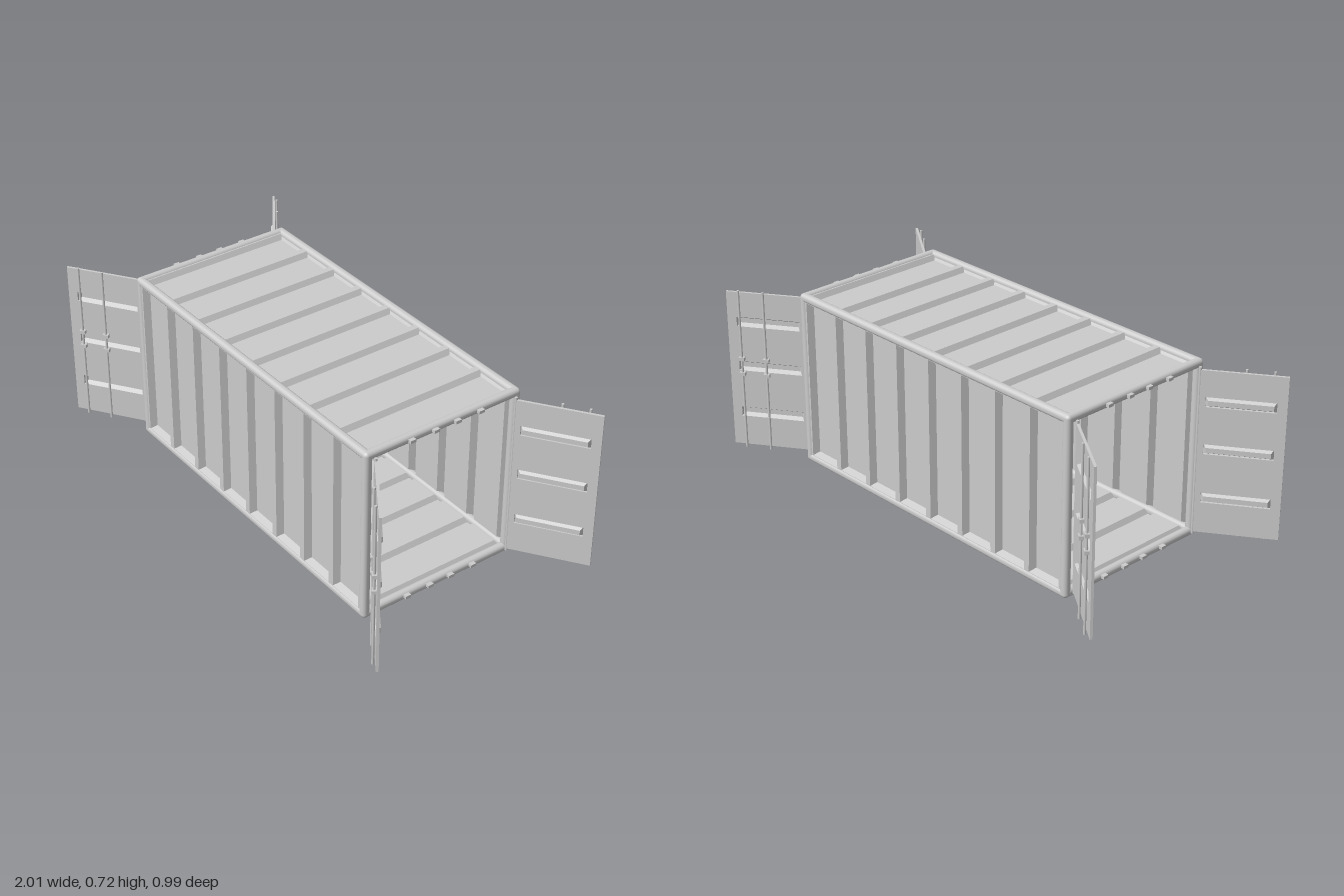
import * as THREE from 'three';
import { RoundedBoxGeometry } from 'three/addons/geometries/RoundedBoxGeometry.js';

const mat = new THREE.MeshStandardMaterial({ color: 0xcccccc, side: THREE.DoubleSide });

function add(parent, name, geo, x = 0, y = 0, z = 0) {
  const m = new THREE.Mesh(geo, mat);
  m.name = name;
  m.position.set(x, y, z);
  parent.add(m);
  return m;
}

// Rectangle outline centred on (x, y)
function rect(path, x, y, w, h) {
  path.moveTo(x - w / 2, y - h / 2);
  path.lineTo(x + w / 2, y - h / 2);
  path.lineTo(x + w / 2, y + h / 2);
  path.lineTo(x - w / 2, y + h / 2);
  path.closePath();
  return path;
}

// Pressed pan: open at z = 0, floor at z = -d, sides tapering by t
function pan(w, h, d, t) {
  const box = new THREE.BoxGeometry(w, h, d);
  box.translate(0, 0, -d / 2);
  const p = box.attributes.position;
  for (let i = 0; i < p.count; i++) {
    if (p.getZ(i) < -d / 2) {
      p.setX(i, p.getX(i) * (1 - 2 * t / w));
      p.setY(i, p.getY(i) * (1 - 2 * t / h));
    }
  }
  // drop the open front face
  const idx = Array.from(box.index.array);
  idx.splice(24, 6);
  // sides and floor are seen mainly from within the pan
  for (let i = 0; i < idx.length; i += 3) [idx[i], idx[i + 1]] = [idx[i + 1], idx[i]];
  box.setIndex(idx);
  box.clearGroups();
  const geo = box.toNonIndexed();
  geo.computeVertexNormals();
  return geo;
}

// Sheet with eight pressed pans between ribs, outside facing +z
function pressedPanel(name, h, panH, depth, taper) {
  const g = new THREE.Group();
  g.name = name;
  const pitch = 0.176, w = 0.151;
  const shape = rect(new THREE.Shape(), 0, 0, 1.43, h);
  for (let i = 0; i < 8; i++) {
    const x = (i - 3.5) * pitch;
    shape.holes.push(rect(new THREE.Path(), x, 0, w, panH));
    add(g, 'panelPan', pan(w, panH, depth, taper), x);
  }
  add(g, 'panelRibs', new THREE.ShapeGeometry(shape));
  return g;
}

// Door hinged at its origin, outside facing +z, reaching towards s * x
function door(s) {
  const g = new THREE.Group();
  g.name = 'door';
  const L = 0.317, H = 0.66, T = 0.01;
  const shape = rect(new THREE.Shape(), s * L / 2, 0, L, H);
  for (const y of [0.205, 0.015, -0.185]) {
    shape.holes.push(rect(new THREE.Path(), s * 0.152, y, 0.256, 0.04));
    add(g, 'doorPressing', pan(0.256, 0.04, 0.018, 0.01), s * 0.152, y);
  }
  const slab = new THREE.ExtrudeGeometry(shape, { depth: T, bevelEnabled: false });
  add(g, 'doorLeaf', slab, 0, 0, -T);
  add(g, 'hingePin', new THREE.CylinderGeometry(0.006, 0.006, 0.68, 8), 0, 0, -T / 2);
  // Locking rods with their guides
  for (const u of [0.165, 0.265]) {
    add(g, 'lockRod', new THREE.CylinderGeometry(0.005, 0.005, 0.68, 8), s * u, 0, 0.008);
    for (const y of [-0.015, 0.05]) {
      add(g, 'rodGuide', new THREE.BoxGeometry(0.024, 0.014, 0.018), s * u, y, 0.008);
    }
  }
  return g;
}

export function createModel() {
  const model = new THREE.Group();
  model.name = 'container';
  const X = 1.46, Y = 0.72, Z = 0.69, B = 0.034, R = 0.015;
  const cy = Y / 2;

  // Rounded frame: four beams along each axis
  const beamX = new RoundedBoxGeometry(X, B, B, 3, R);
  const beamY = new RoundedBoxGeometry(B, Y, B, 3, R);
  const beamZ = new RoundedBoxGeometry(B, B, Z, 3, R);
  const hx = (X - B) / 2, hy = (Y - B) / 2, hz = (Z - B) / 2;
  for (const a of [-1, 1]) {
    for (const b of [-1, 1]) {
      add(model, 'longRail', beamX, 0, cy + a * hy, b * hz);
      add(model, 'cornerPost', beamY, a * hx, cy, b * hz);
      add(model, 'endRail', beamZ, a * hx, cy + b * hy, 0);
    }
  }

  // Side walls
  for (const s of [1, -1]) {
    const wall = pressedPanel('sideWall', 0.69, 0.655, 0.027, 0.011);
    wall.position.set(0, cy, s * 0.34);
    if (s < 0) wall.rotation.y = Math.PI;
    model.add(wall);
  }

  // Roof and floor
  for (const s of [1, -1]) {
    const deck = pressedPanel(s > 0 ? 'roof' : 'floor', 0.66, 0.635, 0.02, 0.013);
    deck.position.set(0, cy + s * 0.351, 0);
    deck.rotation.x = -s * Math.PI / 2;
    model.add(deck);
  }

  // Both ends: a pair of open doors and rod keepers on the rails
  const keeper = new THREE.BoxGeometry(0.024, 0.012, 0.024);
  for (const turn of [0, Math.PI]) {
    const end = new THREE.Group();
    end.name = 'doorEnd';
    end.rotation.y = turn;
    for (const s of [1, -1]) {
      const d = door(s);
      // front-facing door for +x, its mirror for the rear corner
      d.position.set(s * 0.737, cy, 0.315);
      d.rotation.y = -s * 0.607;
      end.add(d);
    }
    for (const z of [-0.152, -0.048, 0.048, 0.152]) {
      for (const y of [0.022, 0.704]) add(end, 'rodKeeper', keeper, 0.732, y, z);
    }
    model.add(end);
  }
  return model;
}
